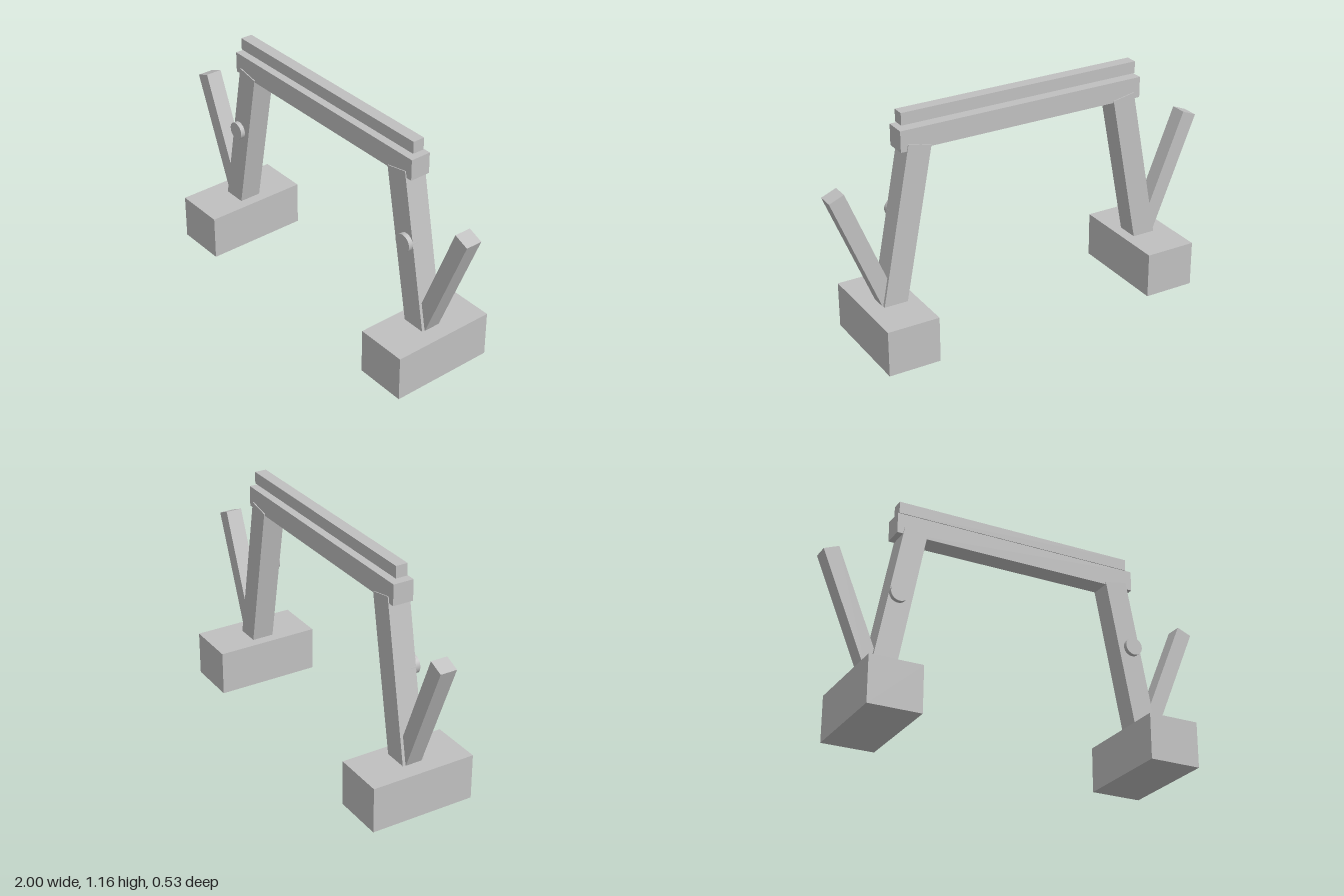
import * as THREE from 'three';

export function createModel() {
  const model = new THREE.Group();
  const grey = new THREE.MeshStandardMaterial({ name: 'grey', color: 0xc0c0c0 });

  function add(name, geometry, x, y, z = 0) {
    const mesh = new THREE.Mesh(geometry, grey);
    mesh.name = name;
    mesh.position.set(x, y, z);
    model.add(mesh);
    return mesh;
  }

  // Straight square-ended bar between two points in the front plane
  function bar(name, [x0, y0], [x1, y1], width, depth) {
    const dx = x1 - x0, dy = y1 - y0;
    const geometry = new THREE.BoxGeometry(width, Math.hypot(dx, dy), depth);
    add(name, geometry, (x0 + x1) / 2, (y0 + y1) / 2).rotation.z = Math.atan2(-dx, dy);
  }

  // Crossbeam with a thinner rail floating just above it
  add('crossbeam', new THREE.BoxGeometry(1.29, 0.104, 0.104), 0, 1.037);
  add('topRail', new THREE.BoxGeometry(1.256, 0.06, 0.06), 0, 1.135);

  for (const [side, s] of [['left', 1], ['right', -1]]) {
    // Foot block, inward-leaning leg and outward-leaning arm
    add(side + 'Foot', new THREE.BoxGeometry(0.263, 0.23, 0.534), s * 0.717, 0.115);
    bar(side + 'Leg', [s * 0.706, 0.2], [s * 0.551, 1.006], 0.118, 0.114);
    bar(side + 'Arm', [s * 0.715, 0.217], [s * 0.9625, 0.829], 0.08, 0.084);

    // Round knob on the front of the leg
    const knob = new THREE.CylinderGeometry(0.045, 0.045, 0.05, 32);
    add(side + 'Knob', knob, s * 0.632, 0.661, 0.055).rotation.x = Math.PI / 2;
  }
  return model;
}
